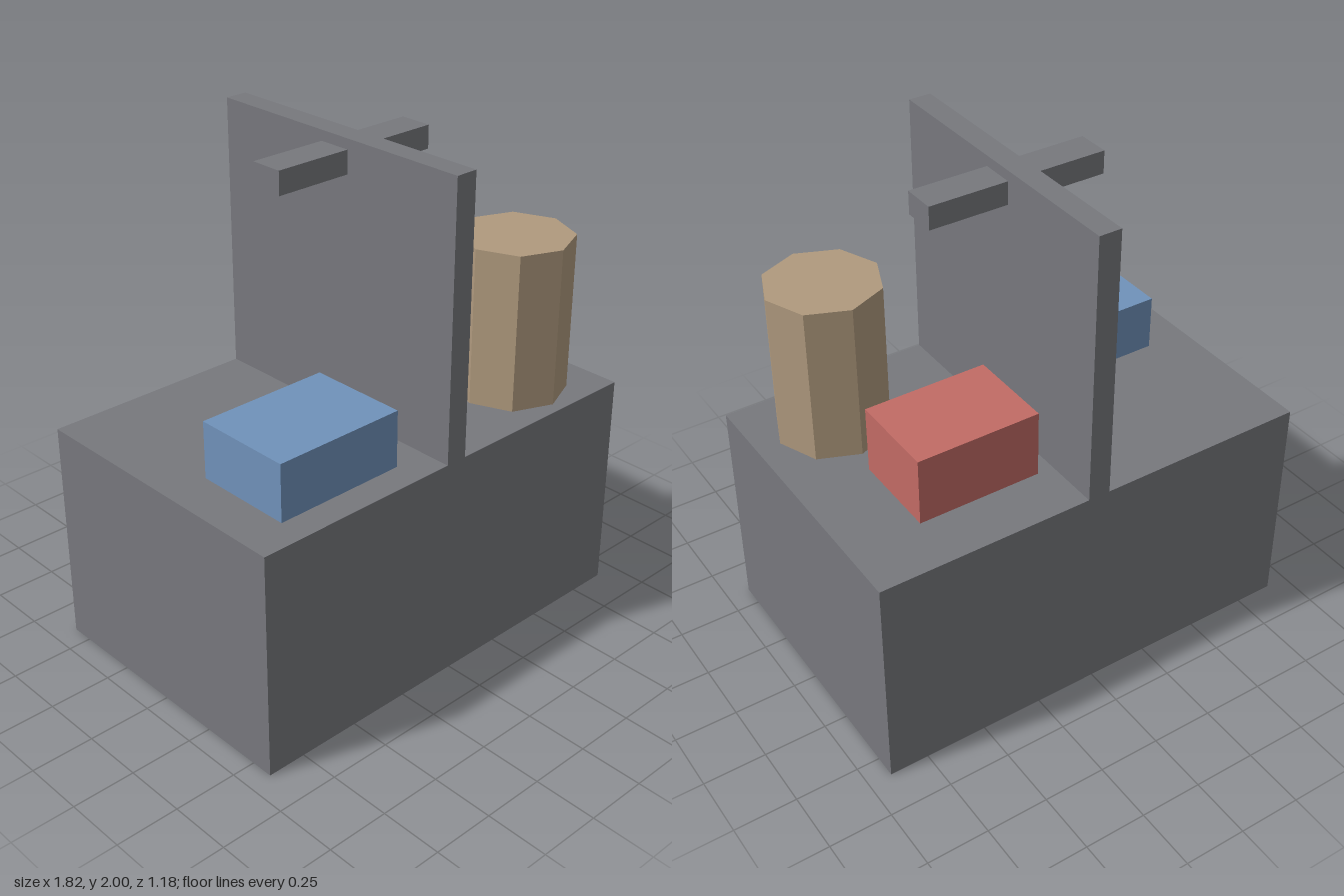
import * as THREE from 'three';

const BASE_TOP = 0.91;

export function createModel() {
  const group = new THREE.Group();
  const material = (color) => new THREE.MeshStandardMaterial({ color, flatShading: true });
  const grey = material(0x77787d);

  const add = (name, geometry, mat, x, y, z) => {
    const mesh = new THREE.Mesh(geometry, mat);
    mesh.name = name;
    mesh.position.set(x, y, z);
    group.add(mesh);
  };
  // Box given by its lower and upper corners
  const box = (name, mat, [x0, y0, z0], [x1, y1, z1]) =>
    add(name, new THREE.BoxGeometry(x1 - x0, y1 - y0, z1 - z0), mat,
      (x0 + x1) / 2, (y0 + y1) / 2, (z0 + z1) / 2);

  // Counter block with upright divider
  box('base', grey, [-0.908, 0, -0.59], [0.908, BASE_TOP, 0.59]);
  box('divider', grey, [-0.045, BASE_TOP, -0.59], [0.045, 2, 0.59]);

  // Short bars sticking out of both faces of the divider
  box('leftBar', grey, [0.045, 1.868, -0.066], [0.362, 1.959, 0.066]);
  box('rightBar', grey, [-0.362, 1.868, -0.066], [-0.045, 1.959, 0.066]);

  // Goods standing on the base
  box('blueBox', material(0x7092ba), [-0.73, BASE_TOP, 0.066], [-0.184, 1.138, 0.472]);
  box('redBox', material(0xc26b65), [0.112, BASE_TOP, -0.364], [0.613, 1.184, 0]);

  // Eight-sided canister
  const height = 1.546 - BASE_TOP;
  add('canister', new THREE.CylinderGeometry(0.226, 0.226, height, 8), material(0xb09a7e),
    0.588, BASE_TOP + height / 2, 0.318);

  return group;
}
